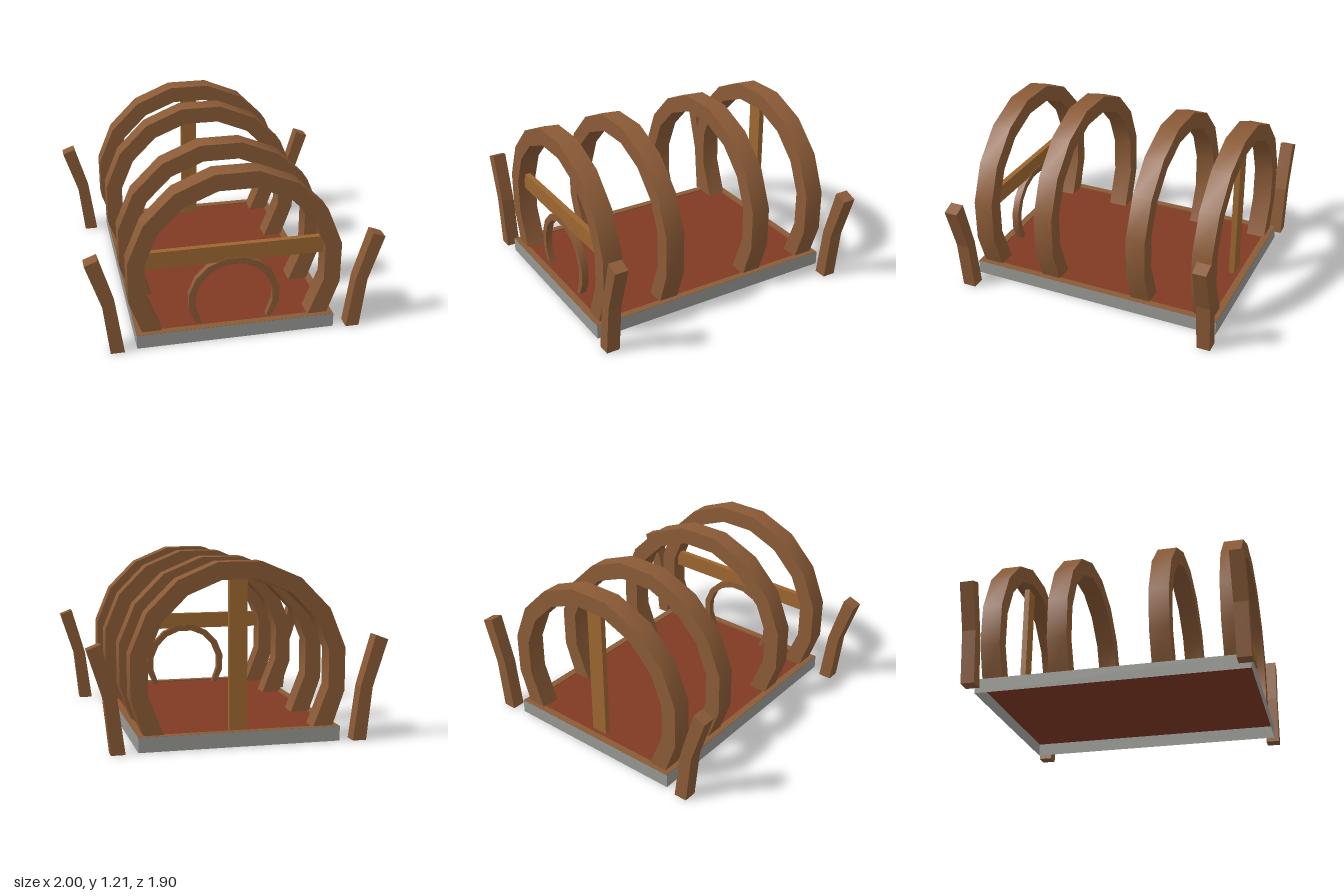
import * as THREE from 'three';
import { toCreasedNormals } from 'three/addons/utils/BufferGeometryUtils.js';

const mat = (name, color, side = THREE.FrontSide) => {
  const m = new THREE.MeshStandardMaterial({ color, side });
  m.name = name;
  return m;
};

export function createModel() {
  const wood = mat('brown wood', 0x8a5a36);
  const beamWood = mat('golden wood', 0x9c6630);
  const stone = mat('grey stone', 0x969692, THREE.DoubleSide);
  const clay = mat('red floor', 0x803a24, THREE.DoubleSide);
  const model = new THREE.Group();

  const add = (name, geometry, material, x = 0, y = 0, z = 0) => {
    const mesh = new THREE.Mesh(geometry, material);
    mesh.name = name;
    mesh.position.set(x, y, z);
    model.add(mesh);
    return mesh;
  };

  // Extrude an xy outline, centred on its depth
  const slab = (points, depth, crease) => {
    const shape = new THREE.Shape(points.map(([x, y]) => new THREE.Vector2(x, y)));
    const g = new THREE.ExtrudeGeometry(shape, { depth, bevelEnabled: false });
    g.translate(0, 0, -depth / 2);
    return crease ? toCreasedNormals(g, crease) : g;
  };

  // Arch band from its right-hand outer and inner profiles, listed bottom to top
  const mirror = ([x, y]) => [-x, y];
  const archBand = (outer, inner, depth) => slab([
    ...outer, ...[...outer].reverse().map(mirror),
    ...inner.map(mirror), ...[...inner].reverse(),
  ], depth, 0.6);

  // Base: open-bottomed grey skirt, red floor and brown border
  const W = 1.36, D = 1.855, H = 0.1;
  for (const s of [1, -1]) {
    const end = add(s > 0 ? 'frontSkirt' : 'backSkirt', new THREE.PlaneGeometry(W, H), stone, 0, H / 2, s * D / 2);
    const side = add(s > 0 ? 'leftSkirt' : 'rightSkirt', new THREE.PlaneGeometry(D, H), stone, s * W / 2, H / 2, 0);
    end.rotation.y = s > 0 ? 0 : Math.PI;
    side.rotation.y = s * Math.PI / 2;
  }
  const floor = add('floor', new THREE.PlaneGeometry(W, D), clay, 0, 0.091, 0);
  floor.rotation.x = -Math.PI / 2;
  for (const s of [1, -1]) {
    add('sideBorder', new THREE.BoxGeometry(0.05, 0.008, D - 0.004), wood, s * (W / 2 - 0.027), 0.096, 0);
    add('endBorder', new THREE.BoxGeometry(W - 0.104, 0.008, 0.05), wood, 0, 0.096, s * (D / 2 - 0.027));
  }

  // Four large arched ribs
  const rib = archBand(
    [[0.637, 0.092], [0.722, 0.335], [0.722, 0.625], [0.613, 0.889], [0.41, 1.094], [0.145, 1.205]],
    [[0.504, 0.092], [0.608, 0.36], [0.608, 0.61], [0.518, 0.825], [0.347, 0.997], [0.122, 1.09]], 0.138);
  [0.822, 0.347, -0.352, -0.823].forEach((z) => add('archRib', rib, wood, 0, 0, z));

  // Round doorway arch at the front
  const arc = (r) => {
    const points = [];
    for (let i = 0; i < 6; i++) {
      const a = (-33.75 + 22.5 * i) * Math.PI / 180;
      points.push([r * Math.cos(a), 0.257 + r * Math.sin(a)]);
    }
    points[0][1] = 0.092;
    return points;
  };
  add('doorArch', archBand(arc(0.317), arc(0.27), 0.05), wood, 0, 0, 0.82);

  // Front crossbar and back upright
  add('frontCrossbar', new THREE.BoxGeometry(1.22, 0.12, 0.04), beamWood, 0, 0.605, 0.82);
  add('backUpright', new THREE.BoxGeometry(0.12, 1.005, 0.04), beamWood, 0, 0.5945, -0.823);

  // Bent corner stakes leaning outward
  const stake = [[0.765, 0], [0.859, 0], [0.898, 0.36], [1, 0.677], [0.913, 0.71], [0.813, 0.365]];
  const leftStake = slab(stake, 0.094);
  const rightStake = slab(stake.map(mirror), 0.094);
  for (const z of [0.905, -0.905]) {
    add('leftStake', leftStake, wood, 0, 0, z);
    add('rightStake', rightStake, wood, 0, 0, z);
  }
  return model;
}
